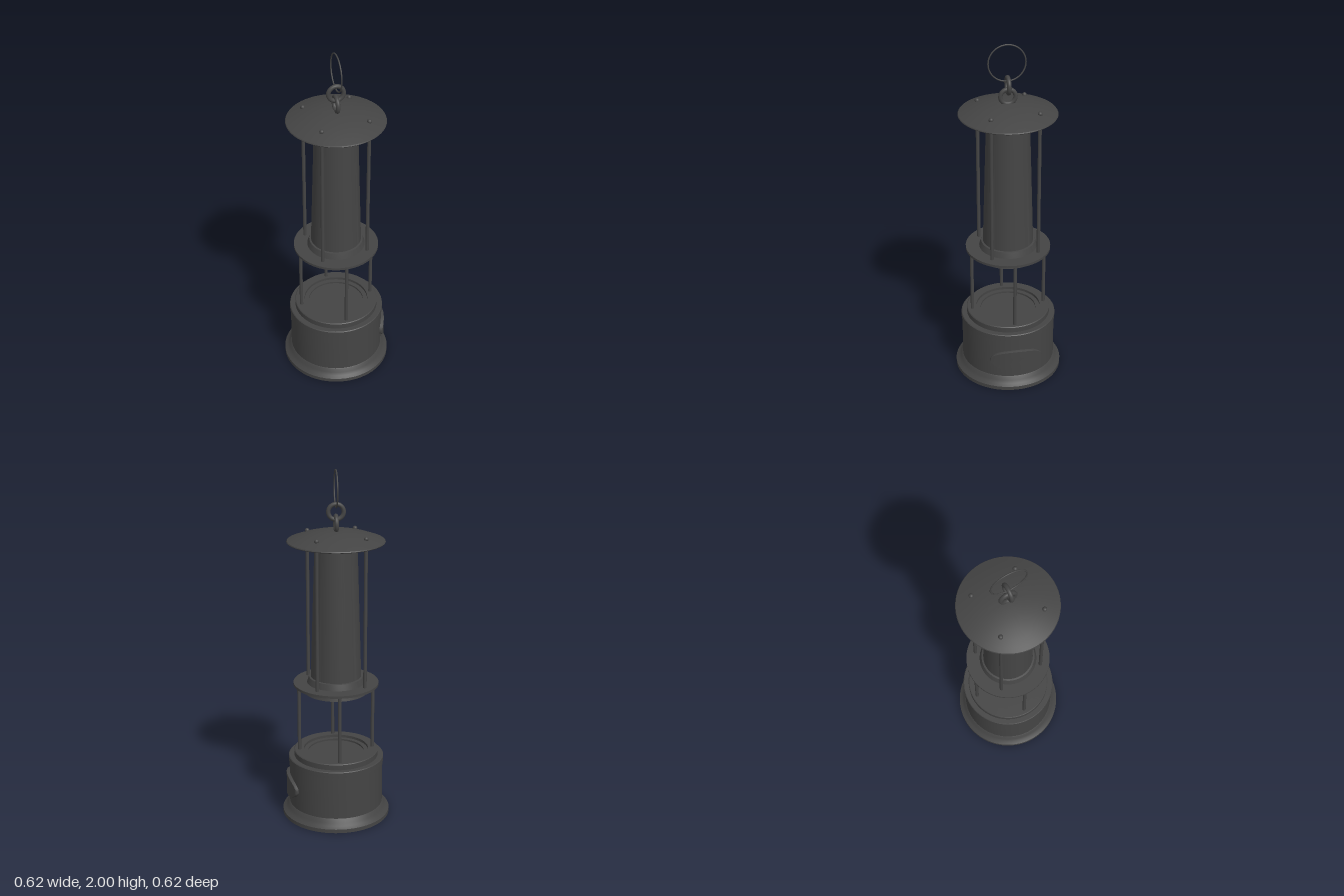
import * as THREE from 'three';
import { toCreasedNormals } from 'three/addons/utils/BufferGeometryUtils.js';

const SEG = 64;

export function createModel() {
  const lamp = new THREE.Group();
  lamp.name = 'minersLamp';
  const metal = new THREE.MeshStandardMaterial({ color: 0x444444 });
  const openMetal = new THREE.MeshStandardMaterial({ color: 0x444444, side: THREE.DoubleSide });

  function add(name, geometry, x = 0, y = 0, z = 0, material = metal) {
    const mesh = new THREE.Mesh(geometry, material);
    mesh.name = name;
    mesh.position.set(x, y, z);
    lamp.add(mesh);
    return mesh;
  }

  // Turned part from [radius, height] pairs, listed from the bottom up the outside
  function turned(points, segments = SEG) {
    const profile = points.map(([r, y]) => new THREE.Vector2(r, y));
    return toCreasedNormals(new THREE.LatheGeometry(profile, segments), 0.5);
  }

  function rod(name, x, z, y0, y1) {
    add(name, new THREE.CylinderGeometry(0.01, 0.01, y1 - y0, 12), x, (y0 + y1) / 2, z);
  }

  // Fuel base: flared foot, drum, stepped collar and recessed top
  add('fuelBase', turned([
    [0, 0], [0.308, 0], [0.308, 0.022], [0.292, 0.034], [0.28, 0.048], [0.272, 0.066],
    [0.268, 0.07], [0.268, 0.32], [0.272, 0.322], [0.272, 0.352], [0.268, 0.356],
    [0.24, 0.356], [0.24, 0.386], [0.236, 0.39], [0.185, 0.39], [0.185, 0.375],
    [0.16, 0.375], [0.16, 0.365], [0, 0.365],
  ]));

  // Oval badge, bent around the drum on the left side
  const badge = new THREE.LatheGeometry(
    [[1, 0], [1, 0.8], [0.97, 1], [0.75, 1], [0.5, 1], [0.25, 1], [0, 1]]
      .map(([r, y]) => new THREE.Vector2(r, y)), 48);
  const p = badge.attributes.position;
  for (let i = 0; i < p.count; i++) {
    const angle = p.getZ(i) * 0.565;
    const radius = 0.262 + p.getY(i) * 0.024;
    p.setXYZ(i, radius * Math.cos(angle), -p.getX(i) * 0.066, radius * Math.sin(angle));
  }
  add('badge', toCreasedNormals(badge, 0.5), 0, 0.184, 0);

  // Lower rods between the base and the middle plate
  for (const [x, z] of [[0.21, 0], [0, 0.21], [-0.21, 0], [0, -0.21]]) {
    rod('lowerRod', x, z, 0.38, 0.79);
  }

  // Middle plate, a flat ring
  add('middlePlate', turned([
    [0.145, 0.784], [0.24, 0.784], [0.24, 0.798], [0.145, 0.798], [0.145, 0.784],
  ]));

  // Tapered chimney with a flared skirt, open underneath
  add('chimney', turned([
    [0.179, 0.742], [0.166, 0.79], [0.152, 0.832], [0.142, 0.834], [0.117, 1.61],
  ]), 0, 0, 0, openMetal);

  // Domed cap
  add('cap', turned([
    [0, 1.605], [0.267, 1.605], [0.27, 1.609], [0.267, 1.614], [0.24, 1.624], [0.2, 1.638],
    [0.15, 1.652], [0.1, 1.662], [0.05, 1.668], [0, 1.67],
  ]));

  // Upper rods, each ending in a rivet on the cap
  for (const [x, z] of [[0.148, 0.118], [0.118, -0.15], [-0.15, -0.12], [-0.12, 0.147]]) {
    rod('upperRod', x, z, 0.79, 1.61);
    add('rivet', new THREE.SphereGeometry(0.013, 16, 10), x, 1.644, z);
  }

  // Hanging links and the thin carrying ring
  function link(name, radius, tube, y, z, turn) {
    add(name, new THREE.TorusGeometry(radius, tube, 14, SEG), 0, y, z).rotation.y = turn;
  }
  link('lowerLink', 0.041, 0.012, 1.706, 0, Math.PI / 2);
  link('upperLink', 0.042, 0.012, 1.77, 0, 0);
  link('carryingRing', 0.101, 0.004, 1.895, 0.005, Math.PI / 2);

  return lamp;
}
